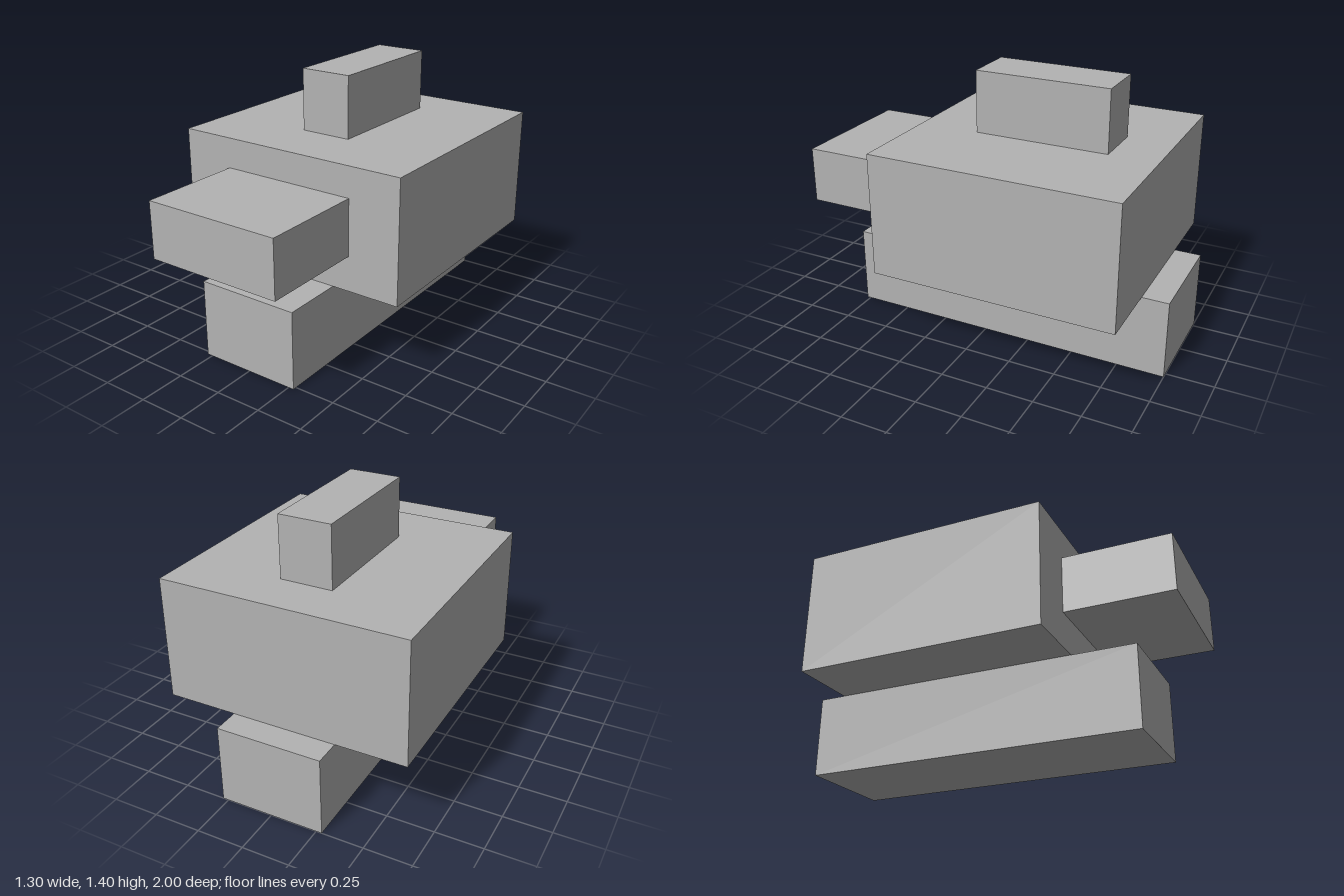
import * as THREE from 'three';

export function createModel() {
  const model = new THREE.Group();
  const grey = new THREE.MeshStandardMaterial({ color: 0xb3b3b3 });
  grey.name = 'plain grey';

  // Block centred on x = 0, given its width and its y and z extents
  function block(name, width, [y0, y1], [z0, z1]) {
    const mesh = new THREE.Mesh(new THREE.BoxGeometry(width, y1 - y0, z1 - z0), grey);
    mesh.name = name;
    mesh.position.set(0, (y0 + y1) / 2, (z0 + z1) / 2);
    model.add(mesh);
  }

  // Long narrow foot under the body
  block('base', 0.56, [0, 0.42], [-1, 0.77]);
  // Main body
  block('body', 1.304, [0.42, 1.07], [-0.86, 0.44]);
  // Block projecting from the front
  block('frontBlock', 0.745, [0.607, 0.908], [0.44, 1]);
  // Upright ridge on top
  block('topRidge', 0.28, [1.07, 1.398], [-0.604, 0.112]);

  return model;
}
